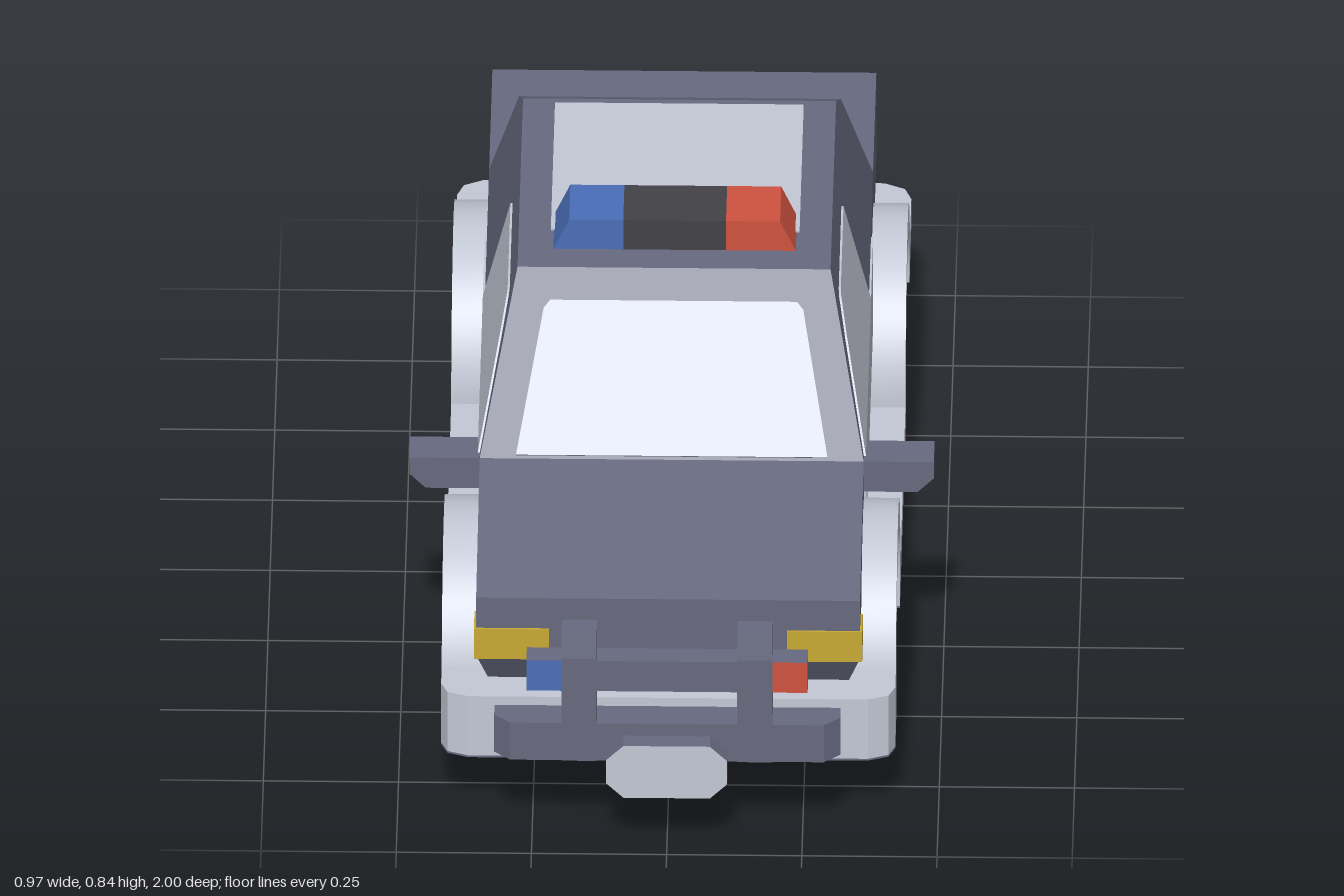
import * as THREE from 'three';
import { toCreasedNormals } from 'three/addons/utils/BufferGeometryUtils.js';

const paint = (name, color) => Object.assign(new THREE.MeshStandardMaterial({ color }), { name });

export function createModel() {
  const body = paint('slate body', 0x686a80), pale = paint('pale panels', 0xc4c9d6);
  const rubber = paint('tyre rubber', 0x39393c), dark = paint('dark bar', 0x434247);
  const blue = paint('blue lamp', 0x4b6eb8), red = paint('red lamp', 0xcf5340);
  const yellow = paint('yellow lamp', 0xc9aa35);
  const car = new THREE.Group();
  car.name = 'car';

  const add = (name, geo, mat) => {
    const m = new THREE.Mesh(geo, mat);
    m.name = name;
    car.add(m);
    return m;
  };
  const shape = pts => new THREE.Shape(pts.map(p => new THREE.Vector2(...p)));
  const extrude = (s, depth) => new THREE.ExtrudeGeometry(s, { depth, bevelEnabled: false, curveSegments: 20 });
  // Box given by its limits on each axis
  const box = (name, x, y, z, mat) => add(name,
    new THREE.BoxGeometry(x[1] - x[0], y[1] - y[0], z[1] - z[0])
      .translate((x[0] + x[1]) / 2, (y[0] + y[1]) / 2, (z[0] + z[1]) / 2), mat);
  // Plan outline in (x, z), raised from y0 to y1
  const plan = (name, pts, y0, y1, mat) => add(name,
    extrude(shape(pts.map(([x, z]) => [x, -z])), y1 - y0).rotateX(-Math.PI / 2).translate(0, y0, 0), mat);

  // Body half-width at each height: tucked in below, tapered cabin above
  const halfWidth = y => 0.355 - Math.max(0, 0.33 - y) * 0.3 - Math.max(0, y - 0.52) * 0.255;
  // Side profile in (z, y), spread across the full body width
  const slab = (name, pts, mat, extra = 0) => {
    const g = extrude(shape(pts.map(([z, y]) => [-z, y])), 2).translate(0, 0, -1).rotateY(Math.PI / 2);
    const p = g.attributes.position;
    for (let i = 0; i < p.count; i++) p.setX(i, Math.sign(p.getX(i)) * (halfWidth(p.getY(i)) + extra));
    g.computeVertexNormals();
    return add(name, g, mat);
  };

  // Body shell
  slab('lowerBody', [[0.84, 0.33], [0.8, 0.26], [0.76, 0.13], [-0.725, 0.13], [-0.73, 0.2], [-0.9, 0.2], [-0.92, 0.26], [-0.965, 0.33]], body);
  slab('middleBody', [[0.84, 0.33], [0.84, 0.455], [0.45, 0.52], [-0.935, 0.52], [-0.965, 0.49], [-0.965, 0.33]], body);
  slab('cabin', [[0.45, 0.52], [0.19, 0.777], [-0.41, 0.777], [-0.47, 0.745], [-0.58, 0.52]], body);

  // Pale doors and side windows, slightly proud of the shell
  slab('doorLower', [[0.4, 0.33], [0.4, 0.19], [-0.36, 0.19], [-0.36, 0.33]], pale, 0.004);
  slab('doorUpper', [[0.4, 0.33], [0.4, 0.47], [0.43, 0.515], [0.43, 0.52], [-0.35, 0.52], [-0.36, 0.51], [-0.36, 0.33]], pale, 0.004);
  slab('sideWindows', [[0.43, 0.52], [0.25, 0.67], [0.185, 0.715], [0.165, 0.72], [-0.13, 0.72], [-0.13, 0.52]], pale, 0.004);

  // Windscreen and rear window lie on sloped faces
  const pane = (w0, s0, w1, s1) => extrude(shape([[-w0, s0], [w0, s0], [w1, s1 - 0.015], [w1 - 0.012, s1],
    [0.012 - w1, s1], [-w1, s1 - 0.015]]), 0.005);
  const windscreen = add('windscreen', pane(0.288, 0.006, 0.24, 0.302), pale);
  windscreen.position.set(0, 0.52, 0.45);
  windscreen.rotation.x = -Math.atan2(0.26, 0.257);
  const rearWindow = add('rearWindow', pane(0.27, 0.05, 0.245, 0.228), pale);
  rearWindow.position.set(0, 0.52, -0.58);
  rearWindow.rotation.set(-Math.atan2(0.11, 0.225), Math.PI, 0, 'YXZ');
  box('roofPanel', [-0.23, 0.23], [0.776, 0.781], [-0.39, 0.06], pale);

  // Bumpers and sills, with dark undersides
  const front = [[-0.42, 0.725], [-0.42, 0.825], [-0.408, 0.855], [-0.37, 0.87], [0.37, 0.87], [0.408, 0.855], [0.42, 0.825], [0.42, 0.725]];
  const rear = [[-0.42, -0.725], [-0.42, -0.915], [-0.408, -0.95], [-0.37, -0.97], [0.37, -0.97], [0.408, -0.95], [0.42, -0.915], [0.42, -0.725]];
  const sill = [[-0.42, -0.325], [-0.42, 0.325], [0.42, 0.325], [0.42, -0.325]];
  plan('frontBumper', front, 0.132, 0.26, pale);
  plan('frontBumperUnderside', front, 0.128, 0.132, body);
  plan('rearBumper', rear, 0.199, 0.26, pale);
  plan('rearBumperUnderside', rear, 0.195, 0.199, body);
  plan('sills', sill, 0.132, 0.197, pale);
  plan('sillUnderside', sill, 0.128, 0.132, body);

  // Wheel and arch at each corner
  const tyre = toCreasedNormals(new THREE.LatheGeometry([[0, 0.195], [0.165, 0.195], [0.195, 0.26], [0.195, 0.33],
    [0.165, 0.385], [0.105, 0.385]].map(p => new THREE.Vector2(...p)), 32).rotateZ(-Math.PI / 2), 0.4);
  const hub = toCreasedNormals(new THREE.LatheGeometry([[0.11, 0.383], [0.108, 0.388], [0.075, 0.388], [0.07, 0.36],
    [0.052, 0.36], [0.048, 0.375], [0, 0.375]].map(p => new THREE.Vector2(...p)), 32).rotateZ(-Math.PI / 2), 0.4);
  const archShape = new THREE.Shape();
  archShape.absarc(0, 0, 0.25, 0, Math.PI, false);
  archShape.absarc(0, 0, 0.2, Math.PI, 0, true);
  const archGeo = toCreasedNormals(extrude(archShape, 0.14).rotateY(Math.PI / 2).translate(0.28, 0, 0), 0.5);
  for (const side of [1, -1]) for (const z of [0.525, -0.525]) {
    for (const [name, geo, mat] of [['tyre', tyre, rubber], ['hub', hub, body], ['wheelArch', archGeo, pale]]) {
      const m = add(name, geo, mat);
      m.position.set(0, 0.195, z);
      if (side < 0) m.rotation.y = Math.PI;
    }
  }

  // Headlights, tail lights and mirrors, mirrored
  for (const s of [1, -1]) {
    const span = (a, b) => (s > 0 ? [a, b] : [-b, -a]);
    box('headlight', span(0.22, 0.359), [0.325, 0.39], [0.78, 0.844], yellow);
    box('tailLight', span(0.235, 0.354), [0.425, 0.488], [-0.969, -0.96], red);
    add('mirror', extrude(shape([[0.34, 0.455], [0.455, 0.455], [0.485, 0.485], [0.485, 0.52], [0.34, 0.52]]
      .map(([x, y]) => [s * x, y])), 0.075).translate(0, 0, 0.375), body);

    // Push bar uprights, their arms and the lamp ends of the upper bar
    add('pushBarUpright', extrude(shape([[-0.905, 0.18], [-0.905, 0.43], [-0.915, 0.455], [-0.955, 0.455], [-0.965, 0.4], [-0.965, 0.18]]), 0.065)
      .rotateY(Math.PI / 2).translate(s > 0 ? 0.13 : -0.195, 0, 0), body);
    box('pushBarArm', span(0.135, 0.19), [0.33, 0.385], [0.82, 0.91], body);
    const lamp = s > 0 ? red : blue;
    box('pushBarLamp', span(0.195, 0.26), [0.325, 0.39], [0.908, 0.955], [lamp, lamp, body, body, lamp, lamp]);

    // Roof lamp with slanted outer end
    add('roofLamp', extrude(shape([[0.095, 0.775], [0.225, 0.775], [0.195, 0.84], [0.095, 0.84]]
      .map(([x, y]) => [s * x, y])), 0.125), lamp);
  }
  box('roofLampCentre', [-0.095, 0.095], [0.775, 0.84], [0, 0.125], dark);

  // Push bar cross members
  plan('pushBarLower', [[-0.32, 0.9], [0.32, 0.9], [0.32, 0.935], [0.29, 0.963], [-0.29, 0.963], [-0.32, 0.935]], 0.18, 0.26, body);
  box('pushBarUpper', [-0.14, 0.14], [0.325, 0.39], [0.908, 0.955], body);

  // Number plates: pale face with a slate edge
  const plate = shape([[-0.08, -0.056], [0.08, -0.056], [0.112, -0.025], [0.112, 0.025], [0.08, 0.056], [-0.08, 0.056], [-0.112, 0.025], [-0.112, -0.025]]);
  add('frontPlate', extrude(plate, 0.04).translate(0, 0.178, 0.96), [pale, body]);
  add('rearPlate', extrude(plate, 0.04).translate(0, 0.22, -1), [pale, body]);

  return car;
}
